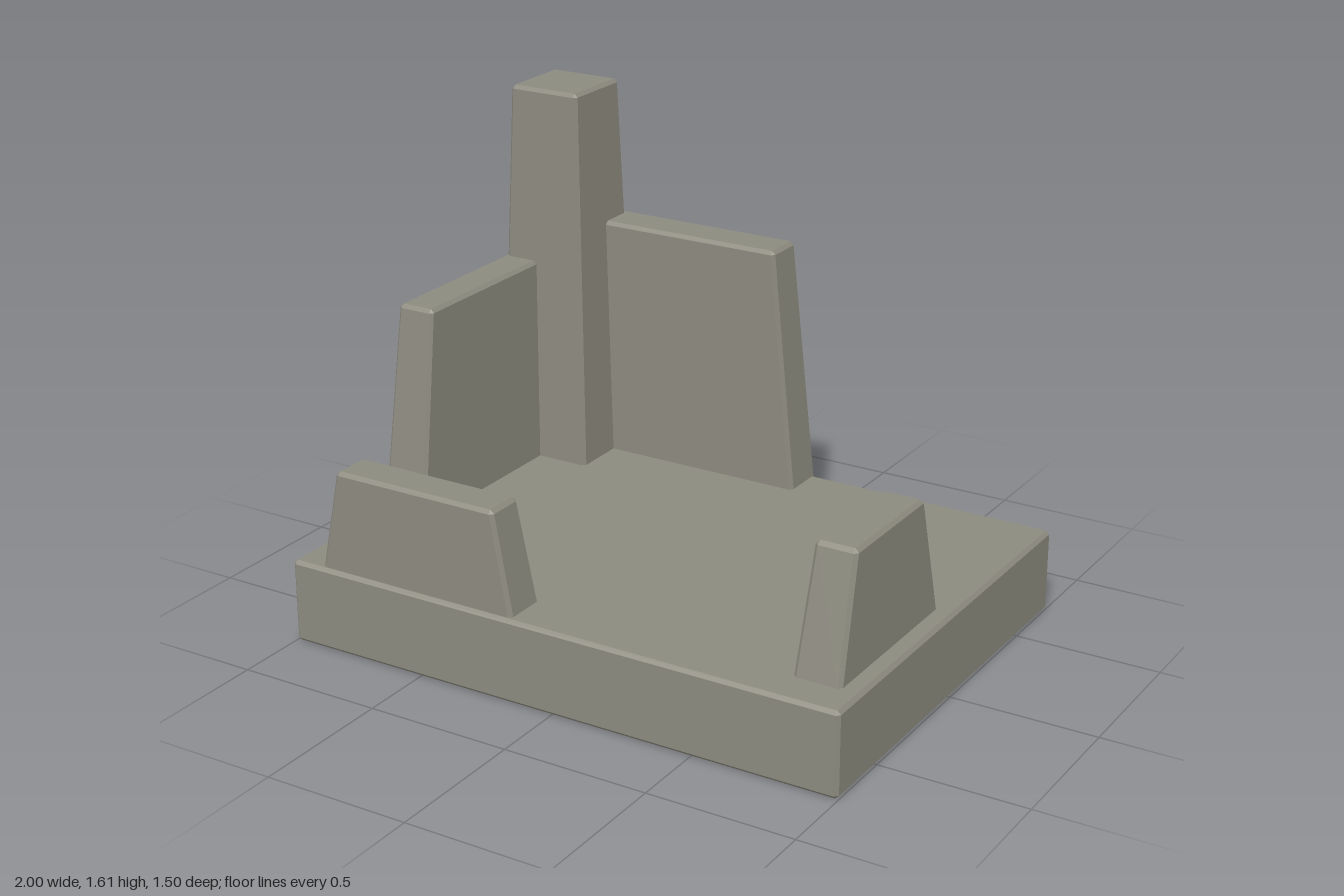
import * as THREE from 'three';
import { ConvexGeometry } from 'three/addons/geometries/ConvexGeometry.js';

const C = 0.012; // chamfer width

// Tapered block with chamfered edges; bottom and top are [xMin, xMax, zMin, zMax].
function taperedBlock(y0, y1, bottom, top) {
  const at = (y) => bottom.map((b, i) => b + (top[i] - b) * (y - y0) / (y1 - y0));
  const points = [];
  for (const [yEnd, inward] of [[y0, 1], [y1, -1]]) {
    const end = at(yEnd);
    const ring = at(yEnd + inward * C);
    for (const i of [0, 1]) {
      for (const j of [2, 3]) {
        const dx = i === 0 ? C : -C;
        const dz = j === 2 ? C : -C;
        // three points cut each corner
        points.push(
          new THREE.Vector3(end[i] + dx, yEnd, end[j] + dz),
          new THREE.Vector3(ring[i] + dx, yEnd + inward * C, ring[j]),
          new THREE.Vector3(ring[i], yEnd + inward * C, ring[j] + dz)
        );
      }
    }
  }
  return new ConvexGeometry(points);
}

export function createModel() {
  const group = new THREE.Group();
  const stone = new THREE.MeshStandardMaterial({ color: 0x8c8a7e });
  stone.name = 'stone grey';

  const slab = [-1, 1, -0.742, 0.752];
  const parts = [
    // floor slab
    ['floorSlab', 0, 0.288, slab, slab],
    // tall corner pillar, sunk into the slab
    ['cornerPillar', 0.2, 1.612, [-0.977, -0.62, -0.752, -0.393], [-0.93, -0.665, -0.705, -0.437]],
    // ruined walls along the four sides
    ['backWall', 0.27, 1.13, [-0.96, 0.107, -0.752, -0.585], [-0.87, 0.015, -0.742, -0.592]],
    ['rightWall', 0.27, 1.005, [-0.978, -0.81, -0.667, 0.297], [-0.96, -0.825, -0.56, 0.19]],
    ['frontWall', 0.27, 0.63, [-0.89, -0.147, 0.583, 0.737], [-0.82, -0.218, 0.592, 0.732]],
    ['leftWall', 0.27, 0.692, [0.775, 0.938, -0.02, 0.627], [0.787, 0.928, 0.083, 0.523]],
  ];
  for (const [name, y0, y1, bottom, top] of parts) {
    const mesh = new THREE.Mesh(taperedBlock(y0, y1, bottom, top), stone);
    mesh.name = name;
    group.add(mesh);
  }
  return group;
}
